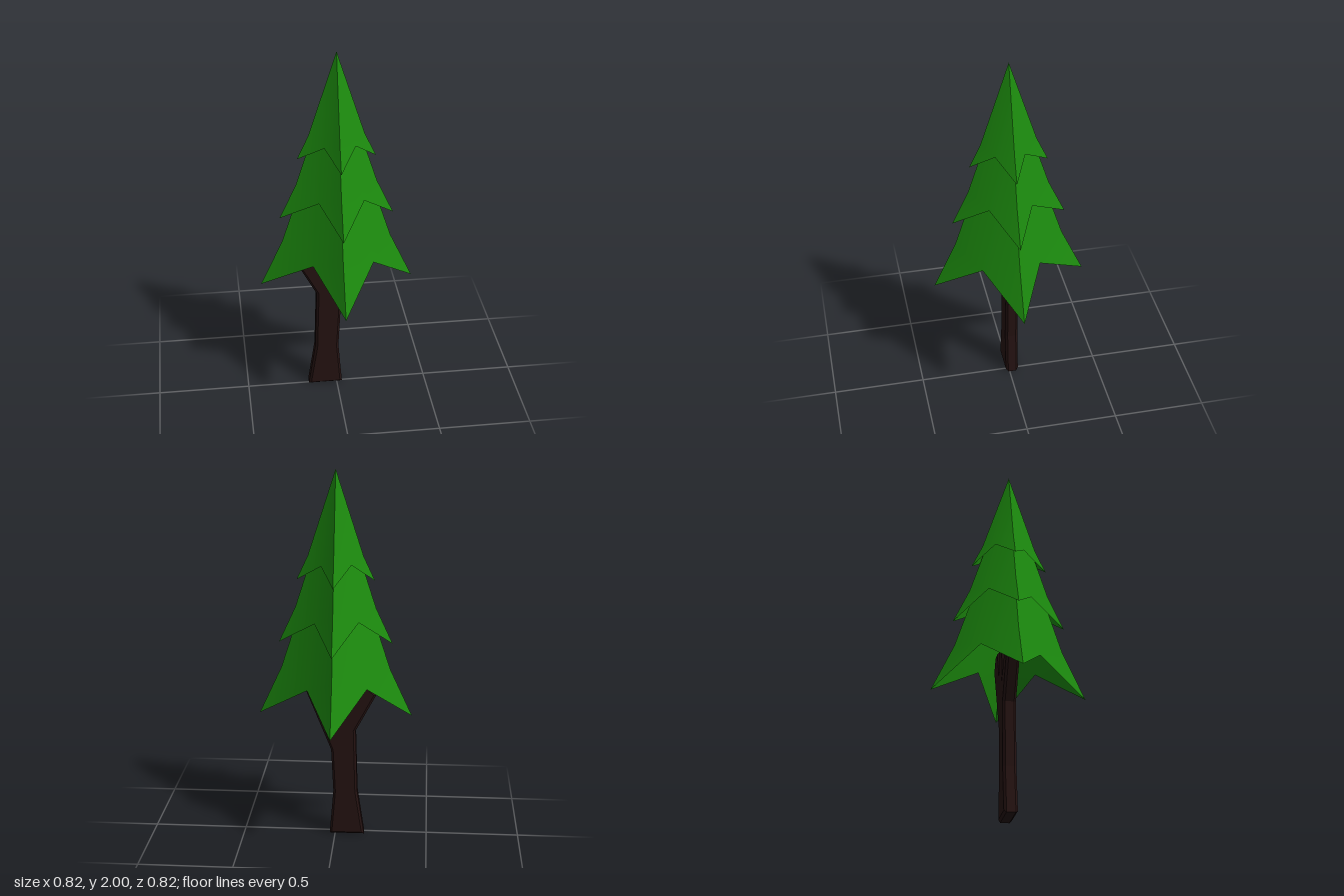
import * as THREE from 'three';
import { toCreasedNormals } from 'three/addons/utils/BufferGeometryUtils.js';

const leafMaterial = new THREE.MeshStandardMaterial({ color: 0x1c8a0e, side: THREE.DoubleSide });
const barkMaterial = new THREE.MeshStandardMaterial({ color: 0x241211 });

// Open four-pointed skirt: ridges bend outward to the tips, valleys sit on the diagonals
function skirtGeometry() {
  const positions = [];
  const apex = [0, 0.58, 0];
  const onAxis = (k, r, y) => {
    const a = (k * Math.PI) / 2;
    return [r * Math.cos(a), y, r * Math.sin(a)];
  };
  const tri = (...points) => points.forEach((p) => positions.push(...p));
  for (let k = 0; k < 4; k++) {
    // Opposite valleys match; neighbouring ones differ in depth
    const [reach, height] = k % 2 === 0 ? [0.0875, 0.1] : [0.0705, 0.0875];
    const valley = onAxis(k + 0.5, reach * Math.SQRT2, height);
    const [bendA, bendB] = [onAxis(k, 0.145, 0.13), onAxis(k + 1, 0.145, 0.13)];
    const [tipA, tipB] = [onAxis(k, 0.205, 0), onAxis(k + 1, 0.205, 0)];
    tri(apex, valley, bendA);
    tri(bendA, valley, tipA);
    tri(apex, bendB, valley);
    tri(bendB, tipB, valley);
  }
  const geometry = new THREE.BufferGeometry();
  geometry.setAttribute('position', new THREE.Float32BufferAttribute(positions, 3));
  return toCreasedNormals(geometry, 0.6);
}

// Flat forked trunk with chamfered edges
function trunkGeometry() {
  const outline = [
    [-0.158, 0], [0.03, 0], [0.01, 0.25], [0.022, 0.49],
    [0.175, 0.87], [0.13, 0.95], [0.06, 0.95], [0.01, 0.78], // right branch
    [0.0, 0.95], [-0.06, 0.95], [-0.09, 0.84], [-0.08, 0.74], // middle branch
    [-0.15, 0.87], [-0.222, 0.81], // left branch
    [-0.11, 0.6], [-0.12, 0.25],
  ];
  const bevel = 0.012;
  const geometry = new THREE.ExtrudeGeometry(
    new THREE.Shape(outline.map(([x, y]) => new THREE.Vector2(x, y))),
    {
      depth: 0.07 - 2 * bevel,
      bevelThickness: bevel,
      bevelSize: bevel,
      bevelOffset: -bevel,
      bevelSegments: 1,
    },
  );
  return geometry.translate(0, 0, -0.05 + bevel);
}

export function createModel() {
  const tree = new THREE.Group();
  tree.name = 'pineTree';

  const trunk = new THREE.Mesh(trunkGeometry(), barkMaterial);
  trunk.name = 'trunk';
  tree.add(trunk);

  // Three copies of the skirt, growing toward the ground
  const skirt = skirtGeometry();
  const tiers = [
    ['topFoliage', 1.42, 1],
    ['middleFoliage', 1.08, 1.47],
    ['bottomFoliage', 0.68, 2],
  ];
  for (const [name, y, scale] of tiers) {
    const tier = new THREE.Mesh(skirt, leafMaterial);
    tier.name = name;
    tier.position.y = y;
    tier.scale.setScalar(scale);
    tree.add(tier);
  }
  return tree;
}
